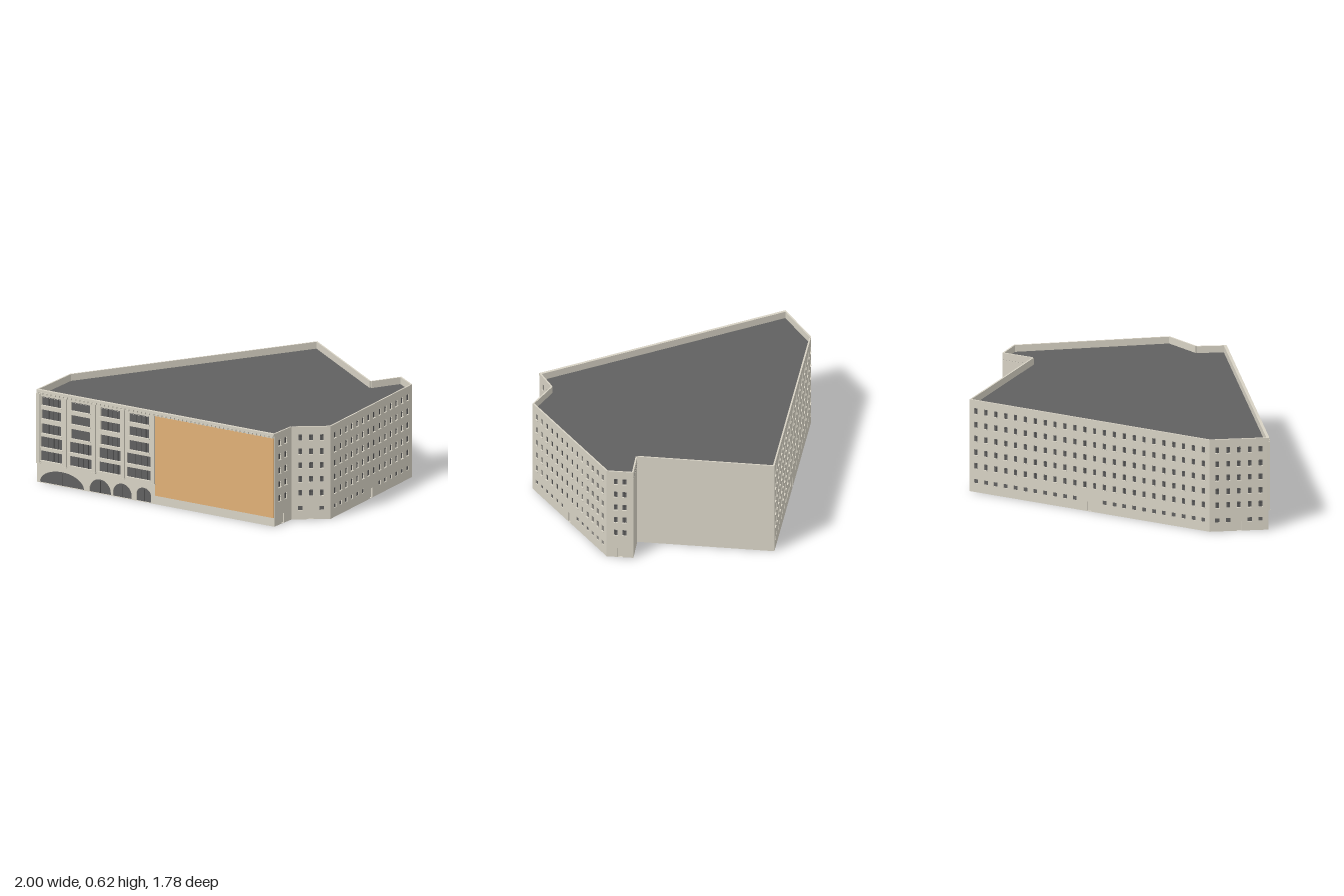
import * as THREE from 'three';
import { mergeGeometries } from 'three/addons/utils/BufferGeometryUtils.js';

const HEIGHT = 0.62, ROOF = 0.575;

const mat = (name, color, side = THREE.FrontSide) => {
  const m = new THREE.MeshStandardMaterial({ color, side });
  m.name = name;
  return m;
};
const stone = mat('stone', 0xd7d2c4, THREE.DoubleSide);
const roofGrey = mat('roof grey', 0x606060);
const glassGrey = mat('glass grey', 0x606060);
const frameDark = mat('dark frame', 0x484848);
const ochre = mat('ochre panel', 0xe1b076);

// Building outline, x and z, starting at the front left of the plan
const outline = [
  [-0.996, 0.876], [0.774, 0.876], [0.789, 0.692], [0.995, 0.55], [0.989, -0.453],
  [0.848, -0.55], [0.729, -0.375], [0.014, -0.89], [-0.98, 0.5],
];

const box = (w, h, d, x, y, z) => new THREE.BoxGeometry(w, h, d).translate(x, y, z);

function add(parent, name, geometry, material) {
  const mesh = new THREE.Mesh(Array.isArray(geometry) ? mergeGeometries(geometry) : geometry, material);
  mesh.name = name;
  parent.add(mesh);
  return mesh;
}

function rect(x0, x1, y0, y1) {
  const s = new THREE.Shape();
  s.moveTo(x0, y0);
  s.lineTo(x1, y0);
  s.lineTo(x1, y1);
  s.lineTo(x0, y1);
  s.closePath();
  return s;
}

// Opening with straight jambs and an elliptical head
function arch(x0, x1, spring, top) {
  const s = new THREE.Shape();
  s.moveTo(x0, 0.002);
  s.lineTo(x1, 0.002);
  s.lineTo(x1, spring);
  s.absellipse((x0 + x1) / 2, spring, (x1 - x0) / 2, top - spring, 0, Math.PI, false);
  s.closePath();
  return s;
}

// Group whose x axis runs along one side of the outline and whose z axis points outward
function sideGroup(i, name) {
  const [ax, az] = outline[i], [bx, bz] = outline[(i + 1) % outline.length];
  const g = new THREE.Group();
  g.name = name;
  g.position.set(ax, 0, az);
  g.rotation.y = Math.atan2(az - bz, bx - ax);
  g.userData.length = Math.hypot(bx - ax, bz - az);
  return g;
}

// Pierced wall with glass in the openings and a plain inner face
function wall(g, depth, windows, doors = []) {
  const L = g.userData.length;
  const shape = rect(0, L, 0, HEIGHT);
  shape.holes.push(...windows, ...doors);
  add(g, 'wall', new THREE.ExtrudeGeometry(shape, { depth, bevelEnabled: false, curveSegments: 16 })
    .translate(0, 0, -depth), stone);
  if (windows.length) {
    add(g, 'glass', new THREE.ShapeGeometry(windows, 16).translate(0, 0, -depth * 0.6), glassGrey);
  }
  add(g, 'innerWall', new THREE.PlaneGeometry(L, HEIGHT)
    .translate(L / 2, HEIGHT / 2, -depth - 0.0005), stone);
}

const ROWS = [0.547, 0.454, 0.361, 0.269, 0.177];

// Plain facade: regular window columns, basement lights and one door
function plainFacade(i, name, { cols = 0, margin = 0.05, door = 0, lights = true }) {
  const g = sideGroup(i, name), L = g.userData.length;
  const windows = [], doors = [], bars = [], sills = [];
  for (let c = 0; c < cols; c++) {
    const x = margin + (L - 2 * margin) * (c / (cols - 1));
    for (const y of ROWS) {
      windows.push(rect(x - 0.012, x + 0.012, y - 0.02, y + 0.02));
      bars.push(box(0.003, 0.04, 0.002, x, y, -0.005), box(0.024, 0.003, 0.002, x, y + 0.008, -0.005));
      sills.push(box(0.03, 0.003, 0.007, x, y - 0.0215, 0.002));
    }
    if (lights && Math.abs(x - door) > 0.042) {
      windows.push(rect(x - 0.014, x + 0.014, 0.06, 0.088));
    }
  }
  if (door) doors.push(rect(door - 0.015, door + 0.015, 0.002, 0.066));
  wall(g, 0.01, windows, doors);
  if (cols) {
    add(g, 'windowBars', bars, frameDark);
    add(g, 'windowSills', sills, stone);
  }
  return g;
}

// Main front: four glazed bays over arches, and a large plain panel
function mainFront() {
  const g = sideGroup(0, 'mainFront');
  const L = g.userData.length, ox = -outline[0][0];
  const windows = [], bars = [], sills = [], piers = [], teeth = [];

  const upper = [[-0.96, -0.815], [-0.74, -0.6], [-0.52, -0.375], [-0.305, -0.16]];
  const lower = [[-0.965, -0.81], [-0.75, -0.585], [-0.53, -0.365], [-0.325, -0.145]];
  const rows = [[0.52, 0.578], [0.43, 0.49], [0.333, 0.397], [0.24, 0.31], [0.15, 0.215]];
  rows.forEach(([y0, y1], r) => {
    (r < 3 ? upper : lower).forEach(([a, b], bay) => {
      const x0 = a + ox, x1 = b + ox, w = x1 - x0;
      windows.push(rect(x0, x1, y0, y1));
      // The second bay has undivided panes on its upper floors
      for (const t of bay === 1 && r < 3 ? [] : [0.35, 0.6, 0.82]) {
        bars.push(box(0.003, y1 - y0, 0.003, x0 + w * t, (y0 + y1) / 2, -0.006));
      }
      sills.push(box(w + 0.012, 0.005, 0.009, (x0 + x1) / 2, y0 - 0.0025, 0.003));
    });
  });

  const arches = [[-0.975, -0.645, 0.003], [-0.605, -0.445, 0.015], [-0.43, -0.29, 0.025], [-0.255, -0.145, 0.045]];
  for (const [a, b, spring] of arches) {
    windows.push(arch(a + ox, b + ox, spring, 0.095));
    bars.push(box(0.003, 0.08, 0.003, a + ox + (b - a) * 0.5, 0.042, -0.006));
  }
  wall(g, 0.012, windows);
  add(g, 'windowBars', bars, frameDark);
  add(g, 'windowSills', sills, stone);

  // Piers between the bays, each on a small corbel
  for (const x of [-0.982, -0.785, -0.57, -0.352, -0.128]) {
    piers.push(box(0.026, 0.46, 0.011, x + ox, 0.365, 0.0055));
    piers.push(box(0.034, 0.006, 0.013, Math.max(x + ox, 0.017), 0.133, 0.0065));
  }
  add(g, 'piers', piers, stone);

  // Row of small blocks under the coping
  const n = 58;
  for (let i = 0; i < n; i++) {
    teeth.push(box(0.012, 0.012, 0.012, 0.012 + (L - 0.024) * i / (n - 1), 0.598, 0.006));
  }
  teeth.push(box(L, 0.016, 0.007, L / 2, 0.612, 0.0035));
  add(g, 'cornice', teeth, stone);

  add(g, 'ochrePanel', box(0.886, 0.532, 0.004, 0.329 + ox, 0.324, 0.002), ochre);
  return g;
}

export function createModel() {
  const model = new THREE.Group();
  model.name = 'cityBlock';

  model.add(
    mainFront(),
    plainFacade(1, 'frontCornerReturn', { cols: 2, margin: 0.06, door: 0.091, lights: false }),
    plainFacade(2, 'chamferedCorner', { cols: 3, margin: 0.057, door: 0.125 }),
    plainFacade(3, 'longSide', { cols: 14, margin: 0.056, door: 0.497 }),
    plainFacade(4, 'rearCorner', { cols: 2, margin: 0.058, door: 0.085, lights: false }),
    plainFacade(5, 'notchWall', {}),
    plainFacade(6, 'blankRearWall', {}),
    plainFacade(7, 'diagonalSide', { cols: 24, margin: 0.045, door: 0.853 }),
    plainFacade(8, 'shortSide', { cols: 5, margin: 0.05, door: 0.188 }),
  );

  // Flat roof sunk below the parapet, with a pale ceiling underneath
  const plan = new THREE.Shape(outline.map(([x, z]) => new THREE.Vector2(x * 0.996, -z * 0.996)));
  const slab = (y) => new THREE.ShapeGeometry(plan).rotateX(-Math.PI / 2).translate(0, y, 0);
  add(model, 'roof', slab(ROOF), roofGrey);
  add(model, 'ceiling', slab(ROOF - 0.003), stone);
  return model;
}
